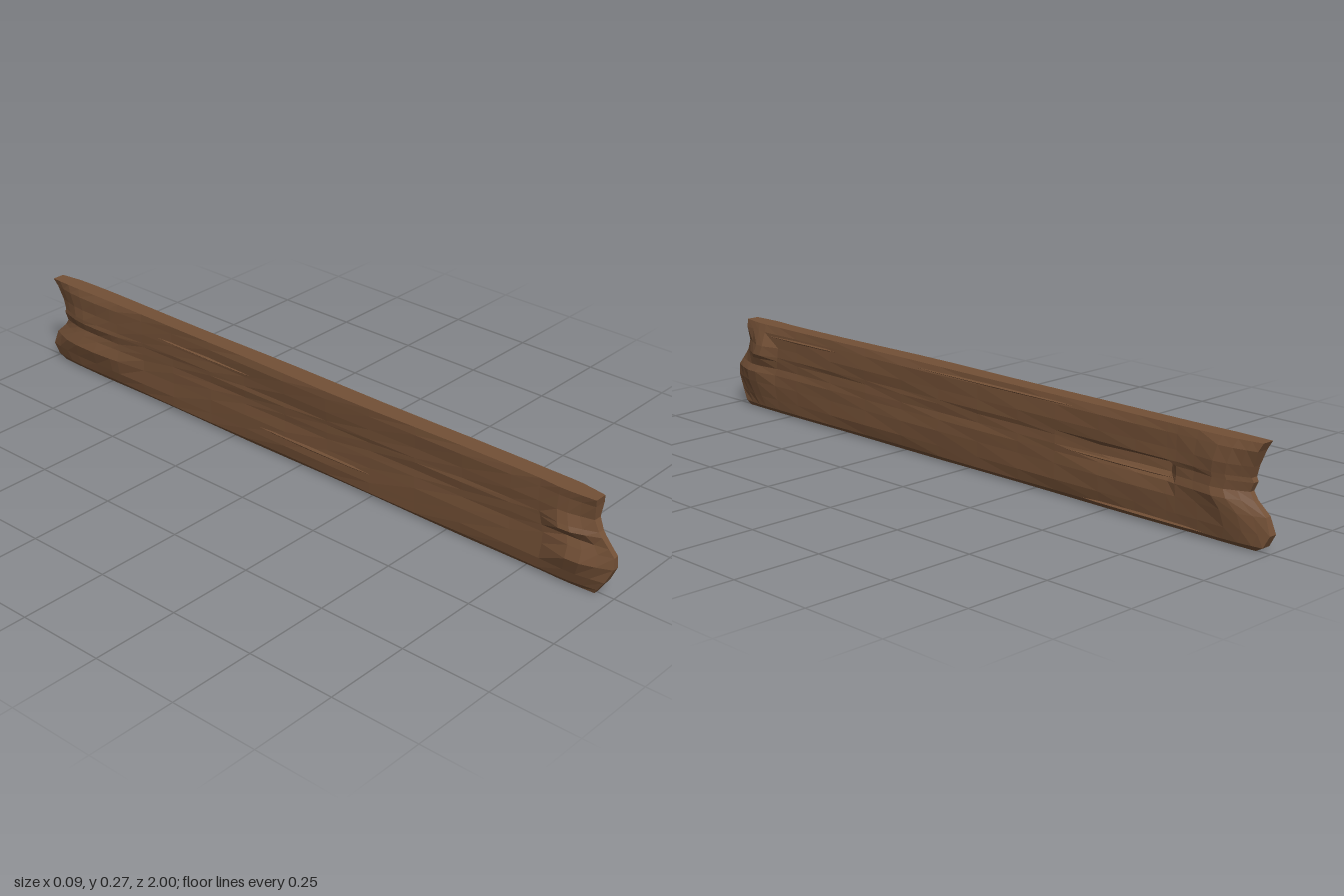
import * as THREE from 'three';

// Rows up the board: y, +x and -x half thickness (middle, front flare, back flare), tip, ends in z
const ROWS = [
  // y, midR, midL, frontR, frontL, backR, backL, tipR, tipL, zFront, zBack
  [0.000, 0.006, -0.014, 0.006, -0.014, 0.006, -0.014, 0.004, -0.010, 0.950, -0.960],
  [0.014, 0.021, -0.026, 0.022, -0.026, 0.022, -0.026, 0.012, -0.014, 0.958, -0.985],
  [0.045, 0.026, -0.029, 0.027, -0.034, 0.027, -0.032, 0.006, -0.018, 0.980, -1.000],
  [0.088, 0.027, -0.028, 0.036, -0.049, 0.034, -0.045, 0.004, -0.014, 1.000, -0.985],
  [0.120, 0.026, -0.026, 0.042, -0.036, 0.040, -0.036, 0.004, -0.012, 0.998, -0.950],
  [0.140, 0.024, -0.026, 0.034, -0.026, 0.034, -0.030, 0.002, -0.014, 0.982, -0.935],
  [0.164, 0.024, -0.028, 0.042, -0.049, 0.033, -0.038, 0.002, -0.016, 0.962, -0.945],
  [0.176, 0.025, -0.028, 0.049, -0.044, 0.034, -0.038, 0.004, -0.016, 0.952, -0.940],
  [0.205, 0.026, -0.029, 0.044, -0.034, 0.036, -0.034, 0.008, -0.016, 0.938, -0.948],
  [0.245, 0.025, -0.031, 0.028, -0.032, 0.030, -0.036, 0.014, -0.022, 0.942, -0.962],
  [0.267, 0.020, -0.029, 0.020, -0.034, 0.020, -0.030, 0.008, -0.028, 0.946, -0.973],
];
const STATIONS = [-1, -0.97, -0.93, -0.88, -0.8, -0.73, -0.7, -0.6, -0.48, -0.33, -0.2,
  -0.05, 0.1, 0.25, 0.4, 0.55, 0.7, 0.8, 0.88, 0.92, 0.96, 1];
const { smoothstep, lerp } = THREE.MathUtils;

function sidePoint(s, j, right) {
  const [y, midR, midL, fR, fL, bR, bL, tR, tL, zF, zB] = ROWS[j];
  const front = s > 0, a = Math.abs(s);
  const mid = right ? midR : midL;
  const flare = front ? (right ? fR : fL) : (right ? bR : bL);
  const tip = right ? tR : tL;
  // flare out near the broken end, then pinch to a ragged edge
  const start = front ? 0.78 : (right ? 0.74 : 0.55);
  const peak = front || right ? 0.9 : 0.8;
  let x = lerp(mid, flare, smoothstep(a, start, peak));
  x = lerp(x, tip, Math.pow(Math.max(0, (a - 0.9) / 0.1), 1.4));
  // worn surface ripple and slight bow of the left face
  if (a < 0.85) x += 0.0015 * Math.sin(s * 9 + j * 2.1);
  if (!right) x -= 0.007 * Math.exp(-Math.pow((s - 0.1) / 0.25, 2)) * smoothstep(y, 0.15, 0.26);
  // long hollow in the right face, deepest at its rear
  if (right && s < -0.34 && s > -0.72 && j >= 4 && j <= 6) {
    x -= [0.006, 0.018, 0.022][j - 4] * smoothstep(-s, 0.3, 0.65);
  }
  const z = s + smoothstep(a, 0.7, 1) * ((front ? zF : zB) - Math.sign(s));
  return [x, y, z];
}

function boardGeometry() {
  const pos = [];
  const quad = (a, b, c, d) => pos.push(...a, ...b, ...c, ...a, ...c, ...d);
  const last = ROWS.length - 1, end = STATIONS.length - 1;
  for (let i = 0; i < end; i++) {
    const s = STATIONS[i], t = STATIONS[i + 1];
    for (let j = 0; j < last; j++) {
      quad(sidePoint(s, j, true), sidePoint(s, j + 1, true), sidePoint(t, j + 1, true), sidePoint(t, j, true));
      quad(sidePoint(s, j, false), sidePoint(t, j, false), sidePoint(t, j + 1, false), sidePoint(s, j + 1, false));
    }
    // top and bottom edges
    quad(sidePoint(s, last, false), sidePoint(t, last, false), sidePoint(t, last, true), sidePoint(s, last, true));
    quad(sidePoint(s, 0, false), sidePoint(s, 0, true), sidePoint(t, 0, true), sidePoint(t, 0, false));
  }
  // broken ends
  for (let j = 0; j < last; j++) {
    quad(sidePoint(1, j, false), sidePoint(1, j, true), sidePoint(1, j + 1, true), sidePoint(1, j + 1, false));
    quad(sidePoint(-1, j, true), sidePoint(-1, j, false), sidePoint(-1, j + 1, false), sidePoint(-1, j + 1, true));
  }
  const g = new THREE.BufferGeometry();
  g.setAttribute('position', new THREE.Float32BufferAttribute(pos, 3));
  g.computeVertexNormals();
  return g;
}

export function createModel() {
  const group = new THREE.Group();
  group.name = 'brokenPlank';
  const wood = new THREE.MeshStandardMaterial({ color: 0x74502f, flatShading: true });
  wood.color.set(0x735036);

  const board = new THREE.Mesh(boardGeometry(), wood);
  board.name = 'board';
  group.add(board);

  // thin raised grain slivers: x, y, z centre, length, height
  const slivers = [
    [0.024, 0.236, 0.69, 0.34, 0.010],
    [0.023, 0.250, -0.10, 0.65, 0.008],
    [0.025, 0.134, -0.55, 0.36, 0.008],
    [0.023, 0.016, -0.62, 0.40, 0.010],
    [-0.028, 0.070, 0.05, 0.40, 0.012],
    [-0.029, 0.215, -0.35, 0.40, 0.008],
  ];
  for (const [x, y, z, length, height] of slivers) {
    const g = new THREE.SphereGeometry(0.5, 4, 4).rotateX(Math.PI / 2).scale(0.01, height, length);
    const sliver = new THREE.Mesh(g, wood);
    sliver.name = 'grainSliver';
    sliver.position.set(x, y, z);
    group.add(sliver);
  }
  return group;
}
